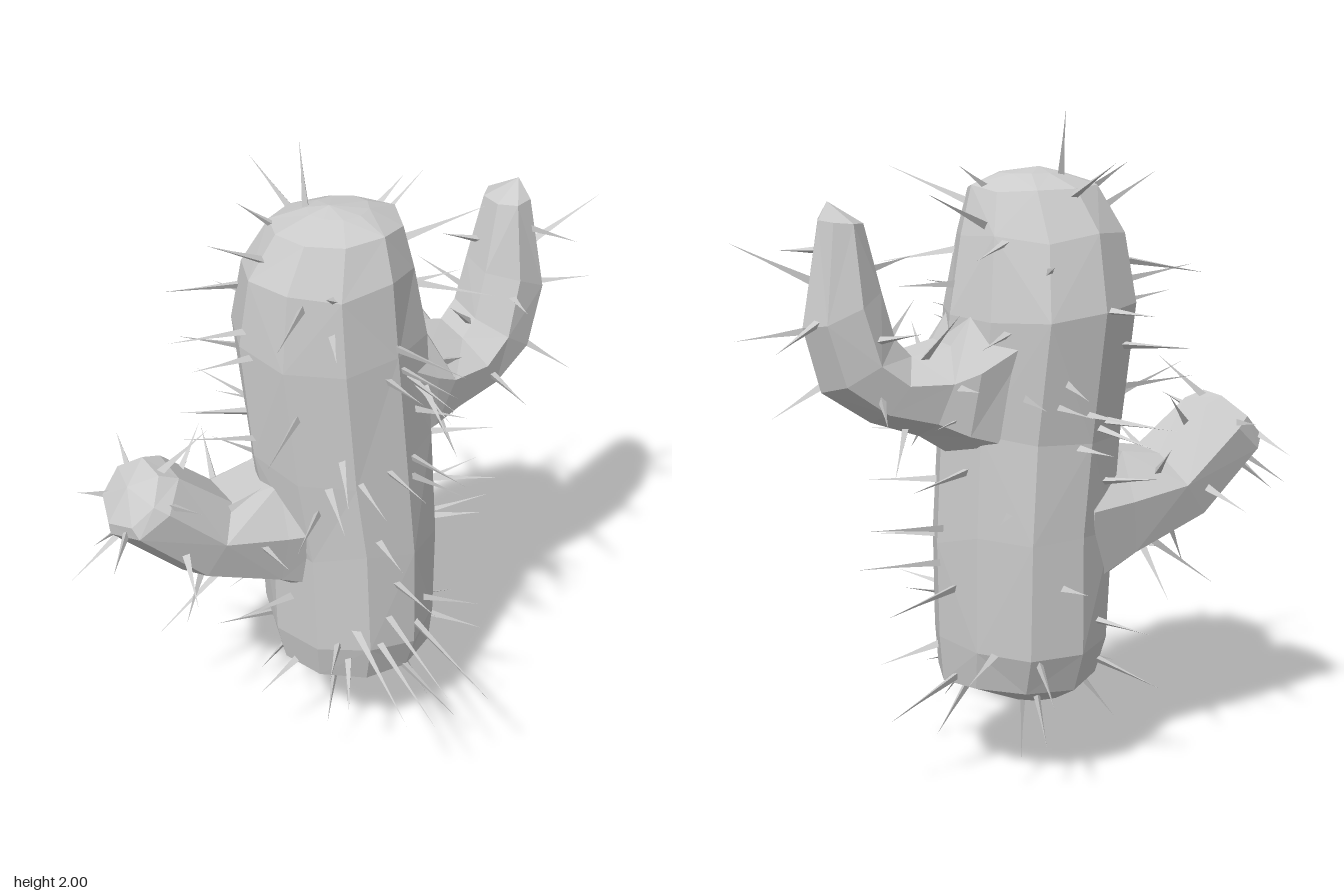
import * as THREE from 'three';
import { mergeGeometries } from 'three/addons/utils/BufferGeometryUtils.js';

const V = (x, y, z) => new THREE.Vector3(x, y, z);
const material = new THREE.MeshStandardMaterial({ color: 0xcccccc, flatShading: true });

// Small seeded generator for natural irregularity
function seeded(seed) {
  return () => (seed = (seed * 16807) % 2147483647) / 2147483647;
}

// Point on an elliptical section { c, a, b }
const onRing = (s, t) => s.c.clone().addScaledVector(s.a, Math.cos(t)).addScaledVector(s.b, Math.sin(t));

// Faceted skin through sections, closed by a pole at both ends.
// Corners wander a little in and out (jitter) and along the limb (slide).
function loft(sections, sides, start, end, jitter, slide, rand) {
  const rings = sections.map((s, i) => Array.from({ length: sides }, (_, j) => {
    const p = onRing(s, ((j + 0.5) / sides) * Math.PI * 2).lerp(s.c, (rand() - 0.5) * jitter);
    const [prev, next] = [sections[i - 1], sections[i + 1]];
    if (prev && next) p.addScaledVector(next.c.clone().sub(prev.c), (rand() - 0.5) * slide);
    return p;
  }));
  const pos = [];
  const tri = (...pts) => pts.forEach(p => pos.push(p.x, p.y, p.z));
  for (let j = 0; j < sides; j++) {
    const k = (j + 1) % sides;
    for (let i = 0; i < rings.length - 1; i++) {
      const [a, b, c, d] = [rings[i][j], rings[i][k], rings[i + 1][k], rings[i + 1][j]];
      if ((i + j) % 2) { tri(a, b, c); tri(a, c, d); }
      else { tri(a, b, d); tri(b, c, d); }
    }
    const last = rings[rings.length - 1];
    tri(rings[0][k], rings[0][j], start);
    tri(last[j], last[k], end);
  }
  const g = new THREE.BufferGeometry();
  g.setAttribute('position', new THREE.Float32BufferAttribute(pos, 3));
  g.computeVertexNormals();
  return g;
}

// Three-sided thorn with a needle-thin tip, rooted slightly under the skin
function spine(base, dir, length) {
  const profile = [[0.015, -0.03], [0.004, length * 0.55], [0, length]];
  const g = new THREE.LatheGeometry(profile.map(p => new THREE.Vector2(...p)), 3);
  g.applyQuaternion(new THREE.Quaternion().setFromUnitVectors(V(0, 1, 0), dir.clone().normalize()));
  return g.translate(base.x, base.y, base.z);
}

// Spine growing out of a blend of two neighbouring sections
function spineOn(s0, s1, f, t, length, lift = 0) {
  const p = onRing(s0, t).lerp(onRing(s1, t), f);
  const c = s0.c.clone().lerp(s1.c, f);
  const dir = p.clone().sub(c).normalize();
  dir.addScaledVector(s1.c.clone().sub(s0.c).normalize(), lift);
  return spine(p.lerp(c, 0.05), dir, length);
}

function addPart(group, name, geometry) {
  const mesh = new THREE.Mesh(geometry, material);
  mesh.name = name;
  group.add(mesh);
}

// Arm section from its profile points: upper/inner x y, lower/outer x y, z centre, half depth
const armSection = (side) => ([ux, uy, lx, ly, z, h]) => ({
  c: V((ux + lx) / 2, (uy + ly) / 2, z),
  a: V((ux - lx) / 2, (uy - ly) / 2, 0).multiplyScalar(1.05),
  b: V(0, 0, h * 1.05 * side),
});

export function createModel() {
  const group = new THREE.Group();
  group.name = 'cactus';
  const rand = seeded(4271);

  // Trunk: y, x range, z range
  const trunk = [
    [0.25, -0.10, 0.09, -0.20, -0.03],
    [0.30, -0.22, 0.25, -0.27, 0.20],
    [0.42, -0.24, 0.27, -0.32, 0.24],
    [0.75, -0.25, 0.27, -0.32, 0.23],
    [1.05, -0.29, 0.26, -0.31, 0.21],
    [1.43, -0.32, 0.24, -0.35, 0.20],
    [1.64, -0.30, 0.20, -0.29, 0.18],
    [1.77, -0.22, 0.16, -0.21, 0.13],
    [1.81, -0.11, 0.07, -0.12, 0.04],
  ].map(([y, x0, x1, z0, z1]) => ({
    c: V((x0 + x1) / 2, y, (z0 + z1) / 2),
    a: V(0, 0, (z1 - z0) / 2 * 1.03),
    b: V((x1 - x0) / 2 * 1.03, 0, 0),
  }));
  addPart(group, 'trunk', loft(trunk, 10, V(-0.02, 0.24, -0.11), V(-0.05, 1.825, -0.04), 0.06, 0.1, rand));

  // Upturned left arm and stubby right arm, both flaring into the trunk
  const leftArm = [
    [0.08, 1.62, 0.10, 0.92, -0.07, 0.21],
    [0.21, 1.43, 0.25, 1.01, -0.07, 0.19],
    [0.27, 1.34, 0.34, 1.07, -0.06, 0.165],
    [0.38, 1.31, 0.49, 1.12, -0.06, 0.145],
    [0.43, 1.36, 0.63, 1.21, -0.07, 0.135],
    [0.47, 1.50, 0.69, 1.41, -0.08, 0.12],
    [0.52, 1.69, 0.64, 1.70, -0.085, 0.08],
  ].map(armSection(1));
  const rightArm = [
    [-0.12, 1.03, -0.12, 0.52, -0.08, 0.20],
    [-0.26, 0.99, -0.28, 0.62, -0.08, 0.18],
    [-0.40, 0.97, -0.55, 0.73, -0.08, 0.16],
    [-0.56, 1.10, -0.75, 0.93, -0.08, 0.15],
    [-0.62, 1.12, -0.76, 0.97, -0.08, 0.125],
  ].map(armSection(-1));
  addPart(group, 'leftArm', loft(leftArm, 7, V(0, 1.25, -0.07), V(0.61, 1.75, -0.07), 0.05, 0.06, rand));
  addPart(group, 'rightArm', loft(rightArm, 7, V(-0.05, 0.8, -0.08), V(-0.7, 1.07, -0.08), 0.05, 0.06, rand));

  // Trunk spines: staggered rows around the body, drooping low and lifting high
  const spines = [];
  [7, 10, 11, 13, 10, 5].forEach((count, row) => {
    const i = row + 1;
    for (let k = 0; k < count; k++) {
      const t = ((k + 0.5 * rand()) / count + row * 0.382) * Math.PI * 2;
      const lift = row === 0 ? -0.4 : row === 5 ? 0.5 : (rand() - 0.5) * 0.4;
      spines.push(spineOn(trunk[i], trunk[i + 1], (k * 0.618) % 1, t, 0.15 + 0.11 * rand(), lift));
    }
  });

  // Crown and underside spines
  spines.push(spine(V(-0.09, 1.8, -0.1), V(0, 1, -0.2), 0.2));
  spines.push(spine(V(0, 0.26, -0.04), V(0.02, -1, 0), 0.26));
  for (let k = 0; k < 5; k++) {
    const t = (k / 5) * Math.PI * 2 + 0.5;
    const out = V(Math.sin(t), 0, Math.cos(t));
    if (k % 2) spines.push(spine(V(-0.04, 1.77, -0.04).addScaledVector(out, 0.17), out.clone().setY(0.7), 0.12));
    spines.push(spine(V(0.02, 0.29, -0.05).addScaledVector(out, 0.19), out.clone().setY(-1.3), 0.17));
  }

  // Long spines low on the front and beside the trunk
  for (const [x, y] of [[-0.1, 0.5], [0, 0.54], [0.1, 0.48], [-0.03, 0.45]])
    spines.push(spine(V(x, y, 0.21), V(x * 1.2, -0.2, 1), 0.38));
  spines.push(spine(V(0.26, 0.67, -0.05), V(1, 0, 0.05), 0.27));
  spines.push(spine(V(-0.28, 1.12, -0.05), V(-1, 0.35, 0.1), 0.28));

  // Close clusters higher on the front and on the back
  for (let k = 0; k < 4; k++) {
    const x = -0.17 + 0.09 * k;
    spines.push(spine(V(x, 1.02 + 0.015 * k, 0.17), V(x * 2, 0.03, 1), 0.24));
    spines.push(spine(V(0.1 - x * 0.4, 1.25 + 0.04 * k, 0.15), V(x * 2, 0.03, 1), 0.26));
    spines.push(spine(V(x, 1.1 + 0.03 * k, -0.28), V(x * 2, 0.05, -1), 0.27));
  }
  addPart(group, 'trunkSpines', mergeGeometries(spines));

  // Arm spines spiral round each arm, with a few longer ones near the tips
  for (const [name, arm, tips] of [
    ['leftArmSpines', leftArm, [[V(0.66, 1.53, -0.06), V(1, 0.5, 0.1), 0.26], [V(0.67, 1.39, -0.06), V(1, -0.1, 0.1), 0.21]]],
    ['rightArmSpines', rightArm, [[V(-0.73, 0.92, -0.08), V(-1, -0.7, 0), 0.2], [V(-0.42, 0.67, -0.08), V(-1, -0.75, 0), 0.27]]],
  ]) {
    const set = tips.map(([p, d, l]) => spine(p, d, l));
    for (let k = 0; k < 15; k++) {
      const u = 1 + (k / 15) * (arm.length - 2);
      const i = Math.floor(u);
      set.push(spineOn(arm[i], arm[i + 1], u - i, k * 2.4, 0.11 + 0.08 * rand()));
    }
    addPart(group, name, mergeGeometries(set));
  }
  return group;
}
